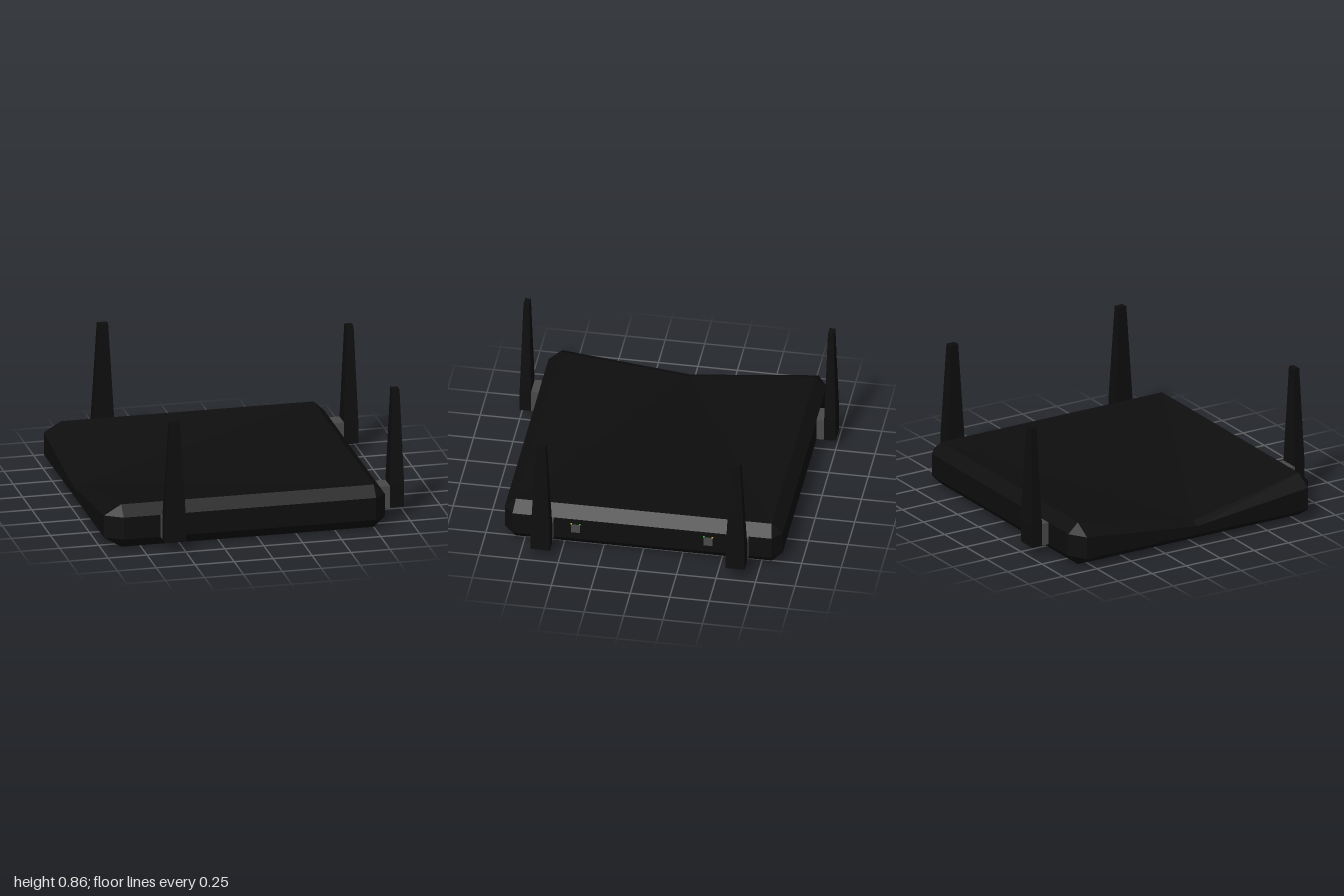
import * as THREE from 'three';

const mat = (color) => new THREE.MeshStandardMaterial({ color, flatShading: true });
const black = mat(0x0e0e0e), grey = mat(0x4a4a4a), green = mat(0x22cc33), yellow = mat(0xccbb22);

function add(parent, name, geometry, material, x, y, z) {
  const mesh = new THREE.Mesh(geometry, material);
  mesh.name = name;
  mesh.position.set(x, y, z);
  parent.add(mesh);
  return mesh;
}

// Box whose top face is scaled towards its centre line
function taperedBox(w, h, d, sx, sz) {
  const g = new THREE.BoxGeometry(w, h, d);
  const p = g.attributes.position;
  for (let i = 0; i < p.count; i++) {
    if (p.getY(i) > 0) {
      p.setX(i, p.getX(i) * sx);
      p.setZ(i, p.getZ(i) * sz);
    }
  }
  g.computeVertexNormals();
  return g;
}

// Bevelled case: four loops from bottom to top, the top dipping at the middle of the -x side
function caseGeometry() {
  const outer = [[-0.87, 0.88], [0.75, 0.88], [0.82, 0.82], [0.82, -0.82], [0.75, -0.88],
    [-0.87, -0.88], [-0.98, -0.81], [-0.98, 0], [-0.98, 0.81]];
  const inner = outer.map(([x, z]) => [
    THREE.MathUtils.clamp(x, -0.87, 0.75), THREE.MathUtils.clamp(z, -0.81, 0.81)]);
  const n = outer.length, dip = 7;
  const loop = (ring, y) => ring.map(([x, z]) => new THREE.Vector3(x, y, z));
  const loops = [loop(inner, 0), loop(outer, 0.07), loop(outer, 0.215), loop(inner, 0.28)];
  loops[2][dip].y = 0.125;
  loops[3][dip].set(-0.93, 0.145, 0);

  const points = [];
  const tri = (a, b, c) => {
    if (!a.equals(b) && !b.equals(c) && !a.equals(c)) points.push(a, b, c);
  };
  for (let l = 0; l < 3; l++) {
    for (let i = 0; i < n; i++) {
      const j = (i + 1) % n;
      const [a, b, c, d] = [loops[l][i], loops[l][j], loops[l + 1][j], loops[l + 1][i]];
      tri(a, b, c);
      tri(a, c, d);
    }
  }
  // Flat base and top fanning out from the dip
  for (let k = 1; k < n - 1; k++) {
    const i = (dip + k) % n, j = (dip + k + 1) % n;
    tri(loops[3][dip], loops[3][i], loops[3][j]);
    tri(loops[0][dip], loops[0][j], loops[0][i]);
  }
  const g = new THREE.BufferGeometry().setFromPoints(points);
  g.computeVertexNormals();
  return g;
}

// Antenna with foot and hinge; its local +z points away from the case
function antenna(width, depth, gap, height) {
  const group = new THREE.Group();
  group.name = 'antenna';
  const z = gap + depth / 2;
  add(group, 'antennaHinge', new THREE.BoxGeometry(width, 0.145, gap + 0.02), grey, 0, 0.1425, gap / 2 - 0.01);
  add(group, 'antennaFoot', new THREE.BoxGeometry(width, 0.15, depth), black, 0, 0.145, z);
  const h = height - 0.22;
  add(group, 'antennaBlade', taperedBox(width, h, depth, 0.48, 0.5), black, 0, 0.22 + h / 2, z);
  return group;
}

export function createModel() {
  const model = new THREE.Group();
  model.name = 'router';
  add(model, 'case', caseGeometry(), black, 0, 0, 0);

  for (const s of [1, -1]) {
    // Antennas on the front and back
    const end = antenna(0.135, 0.072, 0.048, 0.855);
    end.position.set(-0.567, 0, s * 0.88);
    end.rotation.y = s > 0 ? 0 : Math.PI;
    model.add(end);

    // Antennas on the +x side
    const side = antenna(0.12, 0.092, 0.066, 0.838);
    side.position.set(0.82, 0, s * 0.617);
    side.rotation.y = Math.PI / 2;
    model.add(side);

    // Network ports with two small lights each
    const port = new THREE.Group();
    port.name = 'port';
    add(port, 'socket', new THREE.BoxGeometry(0.01, 0.058, 0.056), grey, 0.82, 0.147, s * 0.42);
    const light = new THREE.BoxGeometry(0.01, 0.008, 0.01);
    add(port, 'yellowLight', light, yellow, 0.82, 0.181, s * 0.447);
    add(port, 'greenLight', light, green, 0.82, 0.181, s * 0.393);
    model.add(port);
  }
  return model;
}
